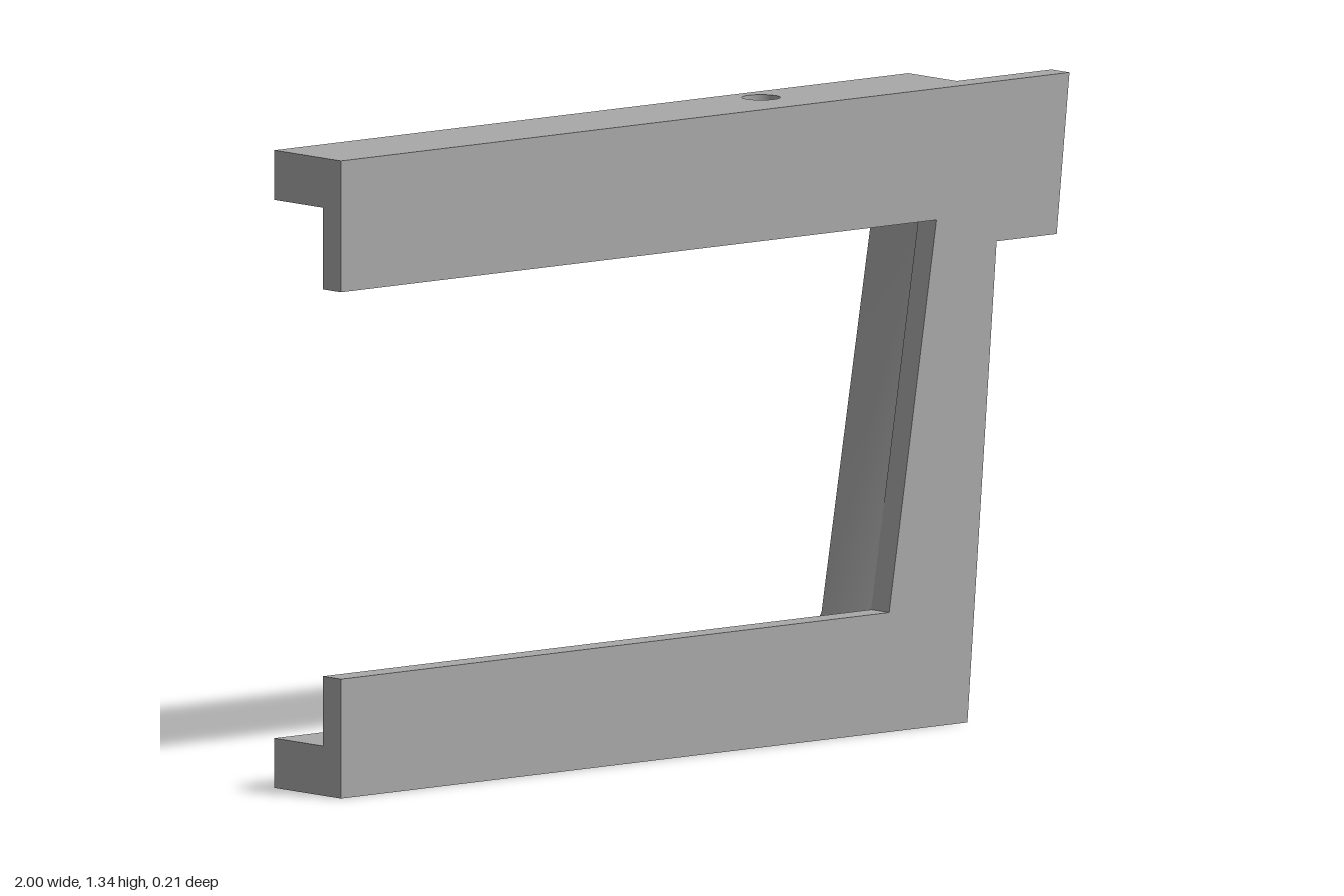
import * as THREE from 'three';
import { toCreasedNormals } from 'three/addons/utils/BufferGeometryUtils.js';

const BACK = -0.105, STEP = 0.048, FRONT = 0.105;

const outline = (points) => new THREE.Shape(points.map(([x, y]) => new THREE.Vector2(x, y)));

const extrude = (shape, depth) =>
  new THREE.ExtrudeGeometry(shape, { depth, bevelEnabled: false, curveSegments: 16 });

export function createModel() {
  const group = new THREE.Group();
  const grey = new THREE.MeshStandardMaterial({ color: 0xa8a8a8 });
  grey.name = 'plain grey';

  const add = (name, geometry) => {
    const mesh = new THREE.Mesh(toCreasedNormals(geometry, 0.5), grey);
    mesh.name = name;
    group.add(mesh);
  };

  // Flat face plate with the overhanging tab at its upper right
  const plate = extrude(outline([
    [-1, 0], [0.72, 0], [0.8, 1], [0.965, 1], [1, 1.335],
    [-1, 1.335], [-1, 1.06], [0.635, 1.06], [0.505, 0.25], [-1, 0.25],
  ]), FRONT - STEP);
  plate.translate(0, 0, STEP);
  add('facePlate', plate);

  // Bent post behind the plate, with the stubs that meet both rails
  const post = extrude(outline([
    [0.4, 0], [0.502, 0], [0.605, 0.205], [0.74, 1.04], [0.74, 1.335], [0.4, 1.335],
    [0.4, 1.23], [0.64, 1.23], [0.64, 1.05], [0.502, 0.23], [0.436, 0.103], [0.4, 0.103],
  ]), STEP - BACK);
  post.translate(0, 0, BACK);
  add('bentPost', post);

  // Horizontal rails, each drilled with a vertical screw hole
  for (const [name, top] of [['upperRail', 1.335], ['lowerRail', 0.104]]) {
    const shape = outline([[-1, BACK], [0.4, BACK], [0.4, STEP], [-1, STEP]]);
    shape.holes.push(new THREE.Path().absarc(0.275, -0.035, 0.04, 0, Math.PI * 2, true));
    const rail = extrude(shape, 0.104);
    rail.rotateX(Math.PI / 2);
    rail.translate(0, top, 0);
    add(name, rail);
  }
  return group;
}
